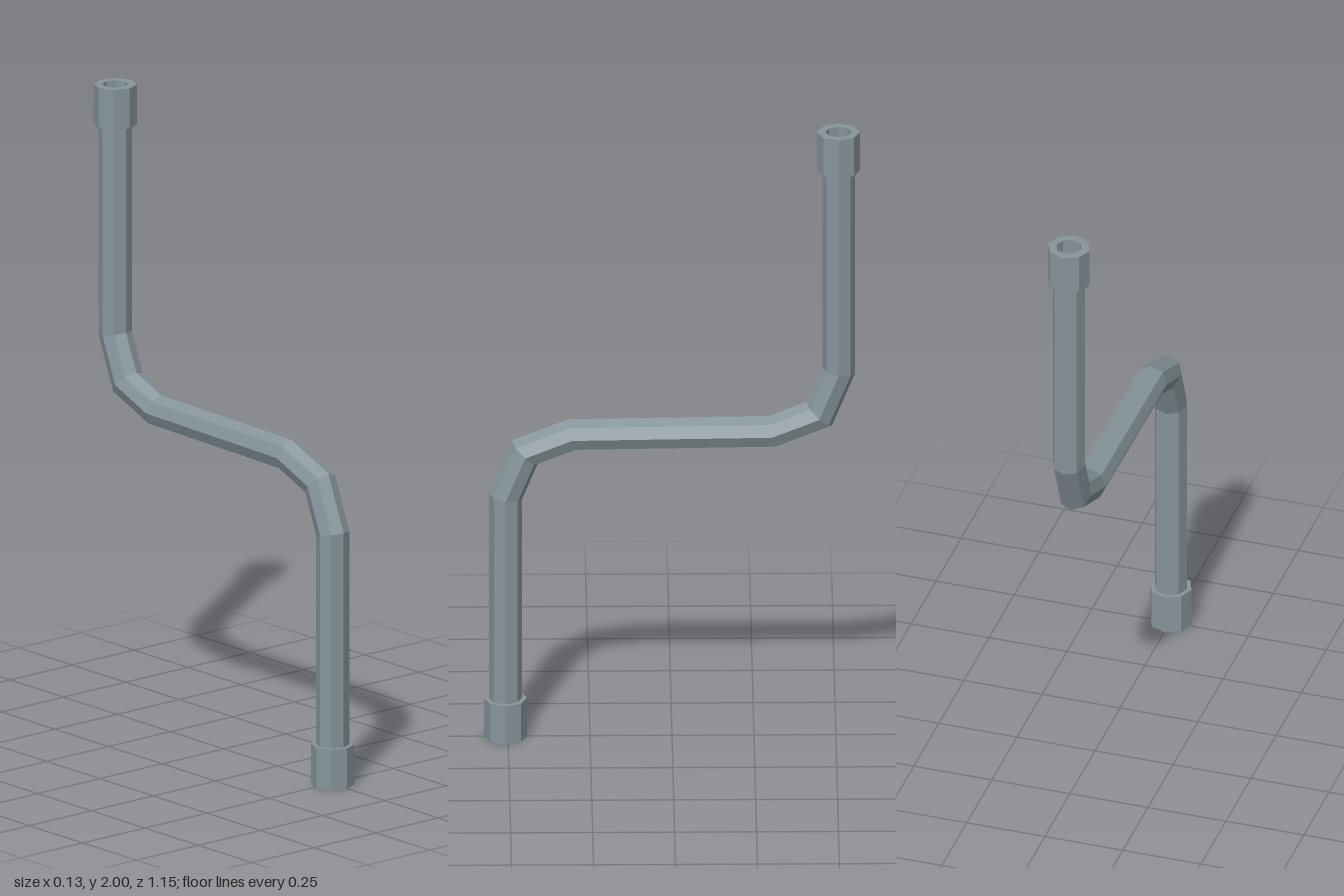
import * as THREE from 'three';

const SIDES = 8;
const PIPE_R = 0.051, BORE_R = 0.04, COLLAR_R = 0.066, COLLAR_H = 0.127;

// Centre line as [y, z], from the lower front end to the upper back end
const PATH = [
  [0, 0.508], [0.797, 0.508], [0.942, 0.449], [1.0, 0.305],
  [1.008, -0.305], [1.066, -0.449], [1.211, -0.508], [2, -0.508],
].map(([y, z]) => new THREE.Vector3(0, y, z));

// Octagonal tube with mitred bends; inward = true turns the faces to the inside
function sweep(path, radius, inward) {
  const positions = [], indices = [];
  path.forEach((p, i) => {
    const before = path[Math.max(i - 1, 0)], after = path[Math.min(i + 1, path.length - 1)];
    const t0 = (i > 0 ? p.clone().sub(before) : after.clone().sub(p)).normalize();
    const t1 = (i < path.length - 1 ? after.clone().sub(p) : t0.clone()).normalize();
    const t = t0.clone().add(t1).normalize();
    const mitre = 1 / t.dot(t0);
    for (let k = 0; k < SIDES; k++) {
      const a = (k / SIDES) * Math.PI * 2;
      const n = radius * Math.cos(a) * mitre;
      positions.push(radius * Math.sin(a), p.y - t.z * n, p.z + t.y * n);
    }
  });
  for (let i = 0; i < path.length - 1; i++) {
    for (let k = 0; k < SIDES; k++) {
      const a = i * SIDES + k, b = i * SIDES + ((k + 1) % SIDES);
      const c = b + SIDES, d = a + SIDES;
      if (inward) indices.push(a, d, b, c, b, d);
      else indices.push(a, b, d, c, d, b);
    }
  }
  const geometry = new THREE.BufferGeometry();
  geometry.setAttribute('position', new THREE.Float32BufferAttribute(positions, 3));
  geometry.setIndex(indices);
  geometry.computeVertexNormals();
  return geometry;
}

export function createModel() {
  const group = new THREE.Group();
  group.name = 'bentPipe';
  const metal = new THREE.MeshStandardMaterial({ color: 0x86959a, flatShading: true });
  metal.name = 'greyMetal';

  const add = (name, geometry, y = 0, z = 0) => {
    const mesh = new THREE.Mesh(geometry, metal);
    mesh.name = name;
    mesh.position.set(0, y, z);
    group.add(mesh);
    return mesh;
  };

  // Pipe wall (ends tucked inside the collars) and the open bore
  const outerPath = PATH.map((p) => p.clone());
  outerPath[0].y = 0.06;
  outerPath[outerPath.length - 1].y = 1.94;
  add('pipe', sweep(outerPath, PIPE_R, false));
  add('bore', sweep(PATH, BORE_R, true));

  // End collars, open in the middle
  const profile = [[BORE_R, 0], [COLLAR_R, 0], [COLLAR_R, COLLAR_H], [BORE_R, COLLAR_H]]
    .map(([r, y]) => new THREE.Vector2(r, y));
  const collar = new THREE.LatheGeometry(profile, SIDES);
  add('lowerCollar', collar, 0, 0.508);
  add('upperCollar', collar, 2 - COLLAR_H, -0.508);

  return group;
}
